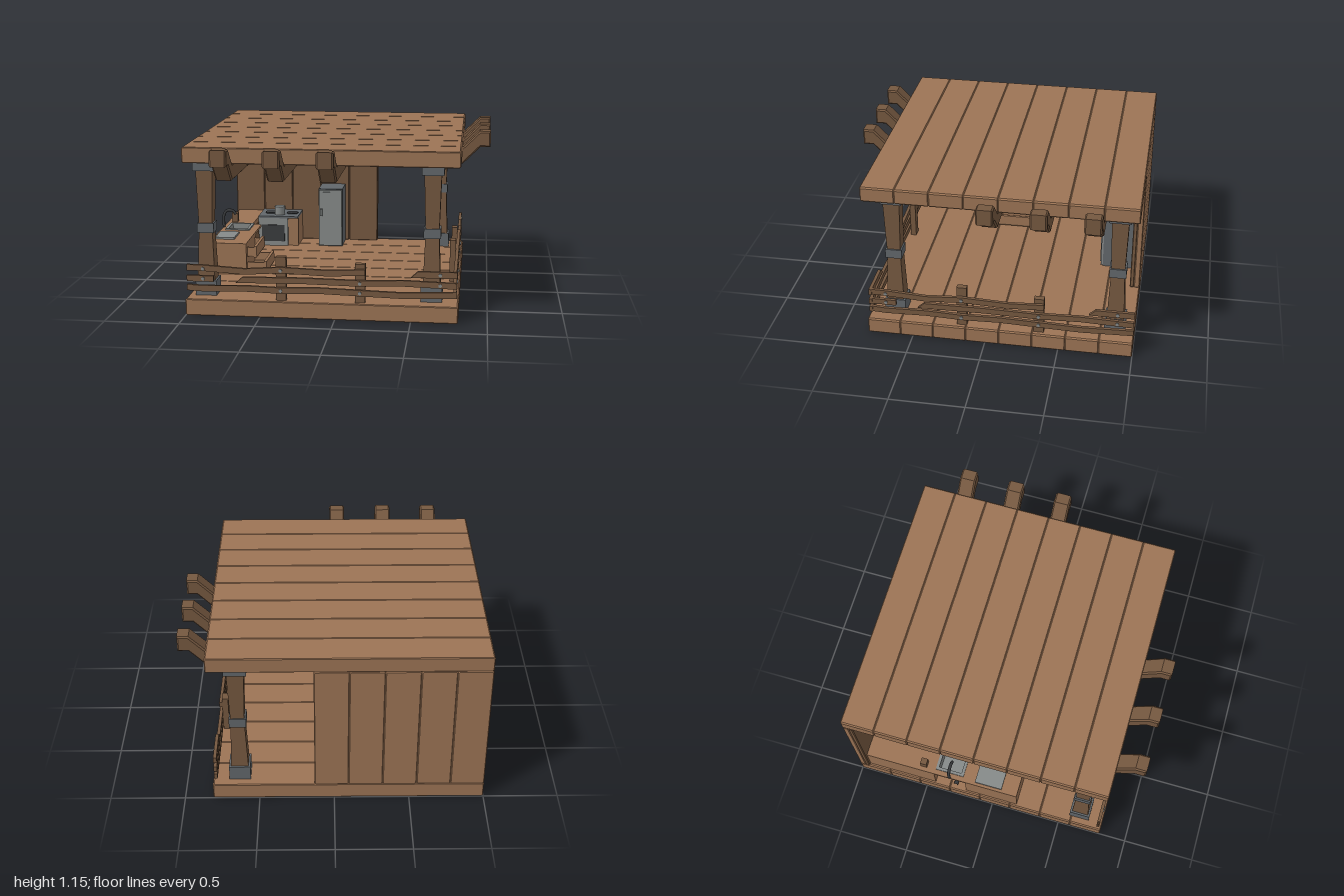
import * as THREE from 'three';

const mat = (name, color) => Object.assign(new THREE.MeshStandardMaterial({ color }), { name });

export function createModel() {
  const wood = mat('light wood', 0x9c7455);
  const dark = mat('dark wood', 0x755840);
  const iron = mat('iron', 0x62676b);
  const steel = mat('pale steel', 0x868a89);
  const black = mat('dark metal', 0x3a3c3e);
  const root = new THREE.Group();
  root.name = 'pavilion';

  const flat = (g) => {
    const n = g.index ? g.toNonIndexed() : g;
    n.computeVertexNormals();
    return n;
  };
  const add = (parent, name, geo, m, x = 0, y = 0, z = 0) => {
    const mesh = new THREE.Mesh(geo, m);
    mesh.name = name;
    mesh.position.set(x, y, z);
    parent.add(mesh);
    return mesh;
  };
  const group = (name, parent = root) => {
    const g = new THREE.Group();
    g.name = name;
    parent.add(g);
    return g;
  };
  // box given by its min and max corners
  const box = (parent, name, m, x0, x1, y0, y1, z0, z1) =>
    add(parent, name, new THREE.BoxGeometry(x1 - x0, y1 - y0, z1 - z0), m, (x0 + x1) / 2, (y0 + y1) / 2, (z0 + z1) / 2);
  // outline extruded along z, centred, with chamfered ends
  const slab = (pts, depth, c = 0) => {
    const s = new THREE.Shape(pts.map(([x, y]) => new THREE.Vector2(x, y)));
    const g = new THREE.ExtrudeGeometry(s, {
      depth: depth - 2 * c, bevelEnabled: c > 0, bevelSize: c, bevelThickness: c, bevelOffset: -c, bevelSegments: 1,
    });
    return flat(g.translate(0, 0, c - depth / 2));
  };
  // box with all edges chamfered
  const plank = (w, h, d, c) => {
    const a = w / 2, b = h / 2;
    return slab([[-a + c, -b], [a - c, -b], [a, -b + c], [a, b - c], [a - c, b], [-a + c, b], [-a, b - c], [-a, -b + c]], d, c * 0.6);
  };

  // floor and roof: eight boards each
  const step = 1.81 / 8;
  const floor = group('floor'), roof = group('roof');
  for (let i = 0; i < 8; i++) {
    const z = -1 + step * (i + 0.5);
    add(floor, 'floorBoard', plank(1.81, 0.113, step, 0.009), wood, -0.095, 0.0565, z);
    add(roof, 'roofBoard', plank(1.81, 0.105, step, 0.009), wood, -0.095, 1.083, z);
  }

  // back wall: boards with a darker lining
  const wall = group('backWall');
  for (let i = 0; i < 5; i++) {
    const x = -1 + step * (i + 0.5);
    add(wall, 'wallBoard', plank(step, 0.92, 0.04, 0.009), wood, x, 0.571, -0.98);
    add(wall, 'wallLining', plank(step, 0.92, 0.03, 0.009), dark, x, 0.571, -0.946);
  }

  // crossing rafters with upturned ends
  const rafterShape = [[-0.96, 0.92], [0.81, 0.92], [0.93, 1.04], [1, 1.04], [1, 1.15], [0.925, 1.15], [0.805, 1.032], [-0.96, 1.032]];
  const rafterGeo = slab(rafterShape, 0.112, 0.01);
  const rafters = group('rafters');
  for (const p of [-0.72, -0.38, -0.038]) {
    add(rafters, 'sideRafter', rafterGeo, dark, 0, 0, p);
    add(rafters, 'frontRafter', rafterGeo, dark, p, 0, 0).rotation.y = -Math.PI / 2;
  }

  // tapered pillars with iron collars
  const R = Math.SQRT2;
  const pillarGeo = flat(new THREE.LatheGeometry(
    [[0.062, 0.11], [0.046, 0.54], [0.046, 0.62], [0.058, 1.03]].map(([r, y]) => new THREE.Vector2(r * R, y)), 4).rotateY(Math.PI / 4));
  for (const [x, z] of [[-0.88, 0.64], [0.63, 0.64], [0.63, -0.87]]) {
    const p = group('pillar');
    p.position.set(x, 0, z);
    add(p, 'pillarShaft', pillarGeo, dark);
    for (const [y0, y1, r] of [[0.11, 0.215, 0.071], [0.54, 0.605, 0.056], [0.962, 1.032, 0.073]])
      box(p, 'pillarCollar', iron, -r, r, y0, y1, -r, r);
  }

  // rustic fence, repeated on the front and the side
  const rail = (parent, h, nodes, slantStart = 0) => {
    const low = nodes.map(([x, y]) => [x, y - h / 2]);
    const high = nodes.map(([x, y]) => [x, y + h / 2]).reverse();
    high[high.length - 1][0] += slantStart;
    add(parent, 'fenceRail', slab([...low, ...high], 0.022), dark, 0, 0, 0.786);
  };
  const fence = (name) => {
    const f = group(name);
    for (const [x, top] of [[-0.36, 0.41], [0.165, 0.376]])
      box(f, 'fencePost', dark, x - 0.034, x + 0.034, 0.11, top, 0.735, 0.776);
    rail(f, 0.04, [[-0.99, 0.326], [-0.88, 0.325], [-0.6, 0.308], [-0.36, 0.325], [-0.05, 0.313], [0.2, 0.325]]);
    rail(f, 0.042, [[0.5, 0.322], [0.8, 0.323]], 0.045);
    rail(f, 0.04, [[-0.99, 0.252], [-0.81, 0.252]]);
    rail(f, 0.04, [[-0.66, 0.25], [-0.2, 0.256], [0.165, 0.25], [0.45, 0.26], [0.8, 0.25]], 0.045);
    rail(f, 0.04, [[-0.99, 0.19], [-0.88, 0.184], [-0.6, 0.192], [-0.36, 0.184], [-0.1, 0.192], [0.165, 0.184], [0.45, 0.176], [0.8, 0.188]]);
    const nail = new THREE.CylinderGeometry(0.012, 0.012, 0.012, 8).rotateX(Math.PI / 2);
    for (const [x, y] of [[-0.88, 0.32], [-0.88, 0.252], [-0.36, 0.322], [-0.36, 0.184], [0.165, 0.25], [0.165, 0.184], [0.69, 0.322], [0.69, 0.252]])
      add(f, 'nail', nail, steel, x, y, 0.797);
    return f;
  };
  fence('frontFence');
  const side = fence('sideFence');
  side.rotation.y = Math.PI / 2;
  side.position.z = -0.2;

  // hanging lamp
  const lamp = group('lamp');
  lamp.position.set(-0.095, 0, -0.375);
  add(lamp, 'lampShade', flat(new THREE.ConeGeometry(0.163, 0.078, 6)), steel, 0, 0.878, 0);
  add(lamp, 'bulb', flat(new THREE.CylinderGeometry(0.03, 0.018, 0.03, 6)), wood, 0, 0.826, 0);

  // drawer counter with two open drawers and a chopping plate
  const counter = group('counter');
  box(counter, 'drawerCabinet', wood, -0.98, -0.71, 0.11, 0.34, -0.2, 0.18);
  for (const [y, reach] of [[0.235, -0.64], [0.125, -0.57]]) {
    box(counter, 'drawerFloor', dark, -0.71, reach, y, y + 0.01, -0.16, 0.14);
    box(counter, 'drawerFront', wood, reach - 0.02, reach, y, y + 0.08, -0.17, 0.15);
    for (const z of [-0.16, 0.125]) box(counter, 'drawerSide', wood, -0.71, reach - 0.02, y, y + 0.07, z, z + 0.015);
  }
  box(counter, 'plate', steel, -0.96, -0.82, 0.34, 0.354, -0.13, 0.065);

  // sink: rim around an open basin, tap and drain
  const sink = group('sink', counter);
  for (const [x0, x1, z0, z1] of [[-0.98, -0.93, -0.43, -0.2], [-0.78, -0.71, -0.43, -0.2], [-0.93, -0.78, -0.43, -0.41], [-0.93, -0.78, -0.23, -0.2]])
    box(sink, 'worktop', wood, x0, x1, 0.322, 0.34, z0, z1);
  for (const [x0, x1, z0, z1] of [[-0.945, -0.925, -0.425, -0.22], [-0.785, -0.765, -0.425, -0.22], [-0.925, -0.785, -0.425, -0.405], [-0.925, -0.785, -0.24, -0.22]])
    box(sink, 'basinSide', steel, x0, x1, 0.24, 0.35, z0, z1);
  box(sink, 'basinBottom', steel, -0.945, -0.765, 0.23, 0.24, -0.425, -0.22);
  const tube = (name, pts, r) => add(sink, name, new THREE.TubeGeometry(
    new THREE.CatmullRomCurve3(pts.map((p) => new THREE.Vector3(...p))), 12, r, 6), black);
  tube('tap', [[-0.975, 0.34, -0.315], [-0.975, 0.43, -0.315], [-0.95, 0.47, -0.315], [-0.9, 0.465, -0.315], [-0.885, 0.44, -0.315]], 0.011);
  tube('drain', [[-0.86, 0.23, -0.28], [-0.86, 0.16, -0.28], [-0.88, 0.145, -0.28], [-0.97, 0.15, -0.28]], 0.016);

  // corner cabinet with a dark door and a knife block
  box(counter, 'cornerCabinet', wood, -0.98, -0.78, 0.11, 0.34, -0.67, -0.43);
  box(counter, 'cabinetDoor', dark, -0.78, -0.772, 0.125, 0.305, -0.65, -0.445);
  box(counter, 'knifeBlock', dark, -0.95, -0.905, 0.34, 0.41, -0.535, -0.49);
  box(counter, 'rearCabinet', wood, -0.98, -0.78, 0.11, 0.34, -0.93, -0.67);

  // stove with oven window, pan and pot
  const stove = group('stove');
  box(stove, 'stoveBody', steel, -0.78, -0.55, 0.11, 0.335, -0.93, -0.68);
  box(stove, 'ovenWindow', black, -0.755, -0.575, 0.15, 0.28, -0.68, -0.672);
  box(stove, 'stoveTop', iron, -0.78, -0.47, 0.335, 0.35, -0.93, -0.67);
  box(stove, 'sideShelf', wood, -0.55, -0.47, 0.11, 0.335, -0.93, -0.7);
  for (const x of [-0.7, -0.53])
    add(stove, 'burner', new THREE.CylinderGeometry(0.045, 0.045, 0.008, 12), black, x, 0.354, -0.8);
  add(stove, 'pot', new THREE.CylinderGeometry(0.042, 0.04, 0.065, 10), steel, -0.62, 0.385, -0.74);

  // fridge
  const fridge = group('fridge');
  box(fridge, 'fridgeBody', iron, -0.31, -0.125, 0.11, 0.568, -0.93, -0.715);
  box(fridge, 'fridgeDoor', steel, -0.307, -0.128, 0.12, 0.56, -0.715, -0.7);
  box(fridge, 'fridgePanel', steel, -0.293, -0.142, 0.14, 0.545, -0.7, -0.694);
  box(fridge, 'fridgeHandle', steel, -0.293, -0.278, 0.36, 0.415, -0.694, -0.672);

  return root;
}
